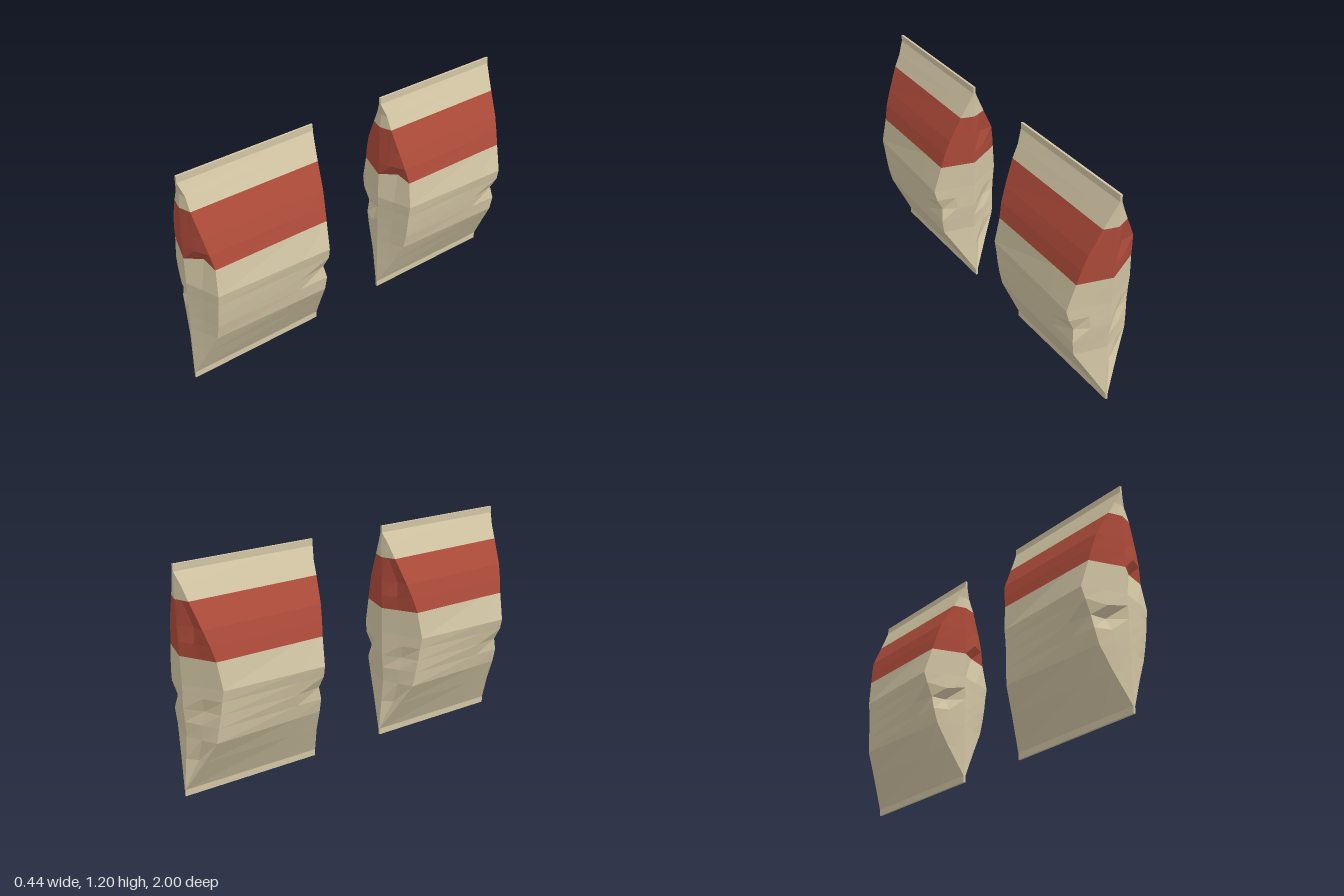
import * as THREE from 'three';

// Pouch cross-sections: y, end-centre z (front, back), then |x|, |z| of the
// corners front-left, back-left, back-right, front-right (left is +x)
const RINGS = [
  [0.035, 0.39, 0.39, 0.006, 0.39, 0.006, 0.39, 0.006, 0.39, 0.006, 0.39],
  [0.20, 0.39, 0.375, 0.09, 0.352, 0.10, 0.352, 0.098, 0.33, 0.083, 0.35],
  [0.32, 0.39, 0.365, 0.15, 0.33, 0.17, 0.325, 0.165, 0.29, 0.14, 0.33],
  [0.40, 0.39, 0.37, 0.168, 0.33, 0.182, 0.33, 0.175, 0.28, 0.162, 0.325],
  [0.47, 0.39, 0.375, 0.178, 0.332, 0.195, 0.33, 0.182, 0.27, 0.185, 0.32],
  [0.54, 0.39, 0.375, 0.186, 0.332, 0.206, 0.325, 0.19, 0.265, 0.203, 0.315],
  [0.60, 0.39, 0.375, 0.195, 0.333, 0.22, 0.32, 0.20, 0.26, 0.22, 0.31],
  [0.745, 0.39, 0.38, 0.172, 0.328, 0.18, 0.333, 0.18, 0.28, 0.18, 0.325],
  [0.82, 0.39, 0.382, 0.152, 0.338, 0.16, 0.34, 0.164, 0.30, 0.162, 0.335],
  [0.90, 0.39, 0.385, 0.122, 0.35, 0.133, 0.35, 0.142, 0.325, 0.138, 0.345],
  [1.03, 0.387, 0.388, 0.068, 0.368, 0.072, 0.367, 0.075, 0.355, 0.07, 0.367],
  [1.10, 0.378, 0.389, 0.036, 0.37, 0.038, 0.378, 0.04, 0.37, 0.037, 0.374],
  [1.165, 0.39, 0.39, 0.006, 0.39, 0.006, 0.39, 0.006, 0.39, 0.006, 0.39],
];
const STRIPE_FROM = 7, STRIPE_TO = 10;

// Creases: ring, point in ring, offset x, y, z
const DENTS = [
  [4, 4, -0.025, 0, 0.015],       // pinch in the back left seam
  [4, 10, 0.02, 0, -0.01],        // pinch in the front right seam
  [4, 11, 0.01, 0, -0.035],
  [5, 11, 0, -0.02, 0.005],
  [7, 1, 0, 0.015, -0.03],        // fold in the front left panel
  [7, 2, 0, -0.005, -0.005],
  [8, 1, 0, 0, 0.008],
  [9, 7, 0, 0, 0.022],            // dents in the back right panel
  [4, 7, 0, 0, 0.015],
  [1, 7, 0, 0, 0.022],
];

function ringPoints([y, front, back, flx, flz, blx, blz, brx, brz, frx, frz]) {
  const f = new THREE.Vector3(0, y, front), b = new THREE.Vector3(0, y, -back);
  const fl = new THREE.Vector3(flx, y, flz), bl = new THREE.Vector3(blx, y, -blz);
  const br = new THREE.Vector3(-brx, y, -brz), fr = new THREE.Vector3(-frx, y, frz);
  const mix = (p, q, t = 0.5) => p.clone().lerp(q, t);
  return [f, mix(f, fl), fl, mix(fl, bl, 0.75), bl, mix(bl, b), b, mix(b, br), br,
    mix(br, fr, 0.75), fr, mix(fr, f)];
}

// Faceted skin between two rings
function bandGeometry(rings, from, to) {
  const pos = [];
  for (let i = from; i < to; i++) {
    const low = rings[i], high = rings[i + 1], n = low.length;
    for (let j = 0; j < n; j++) {
      const k = (j + 1) % n;
      for (const p of [low[j], low[k], high[k], low[j], high[k], high[j]]) pos.push(p.x, p.y, p.z);
    }
  }
  const geo = new THREE.BufferGeometry();
  geo.setAttribute('position', new THREE.Float32BufferAttribute(pos, 3));
  geo.computeVertexNormals();
  return geo;
}

export function createModel() {
  const paper = new THREE.MeshStandardMaterial({ color: 0xd2c5a4 });
  paper.name = 'beige paper';
  const red = new THREE.MeshStandardMaterial({ color: 0xae4b3a });
  red.name = 'red print';

  const rings = RINGS.map(ringPoints);
  for (const [i, j, x, y, z] of DENTS) rings[i][j].add(new THREE.Vector3(x, y, z));

  const seal = (y0, y1) => new THREE.BoxGeometry(0.012, y1 - y0, 0.78).translate(0, (y0 + y1) / 2, 0);
  const parts = [
    ['lowerPouch', bandGeometry(rings, 0, STRIPE_FROM), paper],
    ['stripe', bandGeometry(rings, STRIPE_FROM, STRIPE_TO), red],
    ['upperPouch', bandGeometry(rings, STRIPE_TO, rings.length - 1), paper],
    ['bottomSeal', seal(0, 0.035), paper],
    ['topSeal', seal(1.165, 1.2), paper],
  ];

  // Two identical bags, one behind the other
  const model = new THREE.Group();
  model.name = 'bags';
  for (const [name, z] of [['frontBag', 0.61], ['backBag', -0.61]]) {
    const bag = new THREE.Group();
    bag.name = name;
    bag.position.z = z;
    for (const [partName, geo, mat] of parts) {
      const mesh = new THREE.Mesh(geo, mat);
      mesh.name = partName;
      bag.add(mesh);
    }
    model.add(bag);
  }
  return model;
}
